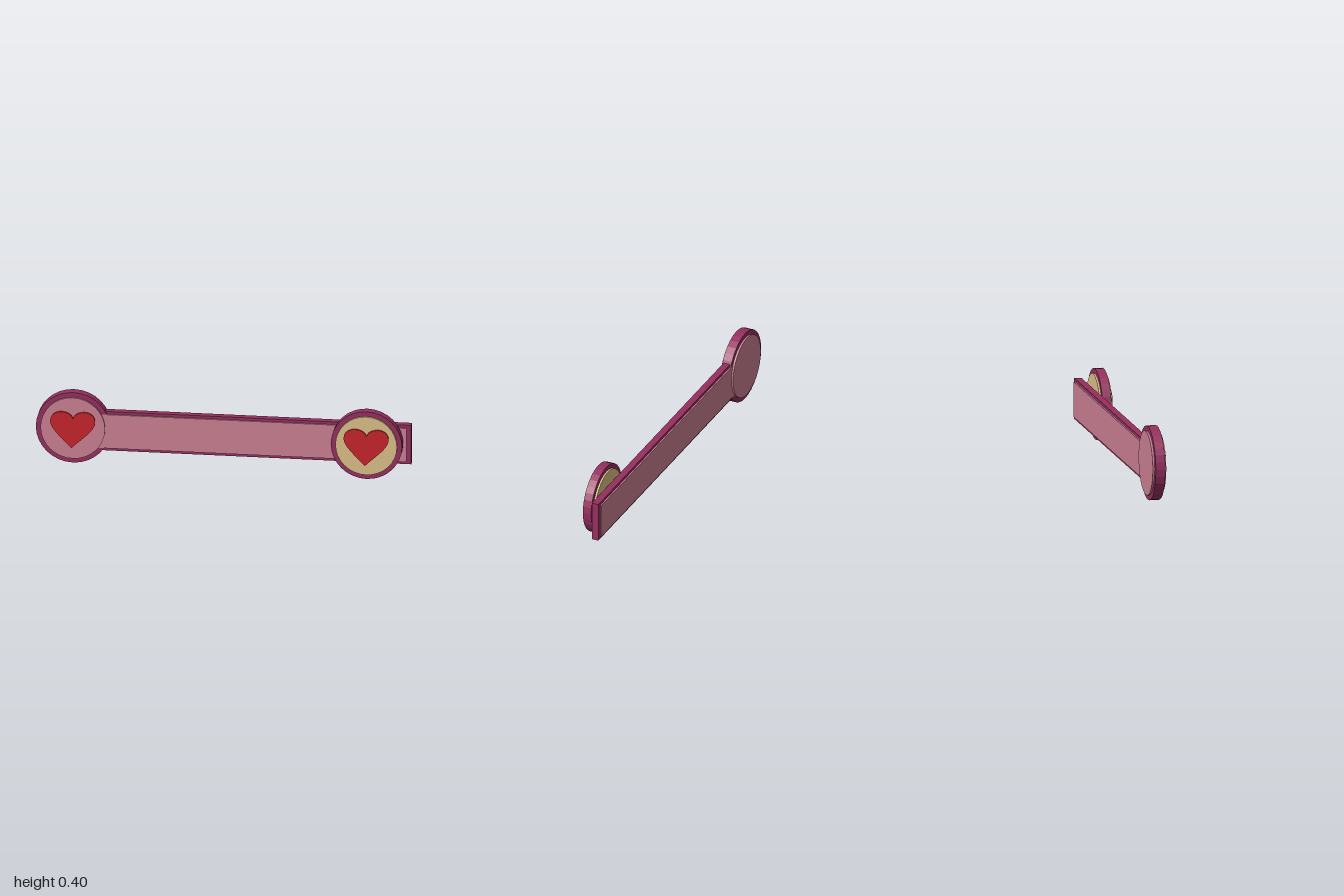
import * as THREE from 'three';

const paint = (color) => new THREE.MeshStandardMaterial({ color, flatShading: true });
const plum = paint(0x96305f);
const pink = paint(0xcb8093);
const cream = paint(0xdcc088);
const red = paint(0xc8242c);

function add(parent, name, geometry, material, x, y, z) {
  const mesh = new THREE.Mesh(geometry, material);
  mesh.name = name;
  mesh.position.set(x, y, z);
  parent.add(mesh);
}

// Disc facing the front
const disc = (radius, depth) => new THREE.CylinderGeometry(radius, radius, depth, 32).rotateX(Math.PI / 2);

// Heart with its tip slightly to one side, extruded forwards from z = 0
function heart(depth) {
  const s = new THREE.Shape();
  s.moveTo(-0.006, -0.11);
  s.bezierCurveTo(0.03, -0.07, 0.118, -0.01, 0.12, 0.035);
  s.bezierCurveTo(0.122, 0.075, 0.095, 0.094, 0.065, 0.094);
  s.bezierCurveTo(0.035, 0.094, 0.007, 0.08, 0.003, 0.057);
  s.bezierCurveTo(-0.007, 0.082, -0.033, 0.095, -0.062, 0.094);
  s.bezierCurveTo(-0.095, 0.093, -0.122, 0.07, -0.119, 0.035);
  s.bezierCurveTo(-0.115, -0.01, -0.04, -0.07, -0.006, -0.11);
  return new THREE.ExtrudeGeometry(s, { depth, bevelEnabled: false, curveSegments: 8 });
}

// Rimmed disc with a raised inlay on both sides and a heart on the front
function medallion(name, x, z, rim, rimDepth, inlay, inlayDepth, inlayMaterial) {
  const group = new THREE.Group();
  group.name = name;
  group.position.set(x, 0.2, z);
  add(group, 'rim', disc(rim, rimDepth), plum, 0, 0, 0);
  add(group, 'inlay', disc(inlay, inlayDepth), inlayMaterial, 0, 0, 0);
  add(group, 'heart', heart(0.02), red, 0, 0, inlayDepth / 2 - 0.01);
  return group;
}

export function createModel() {
  const model = new THREE.Group();
  model.name = 'heartClasp';

  // Long strap: dark border with a thicker, narrower panel through it
  const strap = new THREE.Group();
  strap.name = 'strap';
  add(strap, 'strapBorder', new THREE.BoxGeometry(1.75, 0.22, 0.038), plum, 0.125, 0.187, -0.037);
  add(strap, 'strapPanel', new THREE.BoxGeometry(1.725, 0.19, 0.055), pink, 0.1125, 0.187, -0.037);
  model.add(strap);

  // End disc joined to the strap, and the separate disc in front of its other end
  model.add(medallion('endMedallion', -0.802, -0.037, 0.198, 0.052, 0.172, 0.073, pink));
  model.add(medallion('frontMedallion', 0.77, 0.029, 0.19, 0.048, 0.164, 0.068, cream));
  return model;
}
